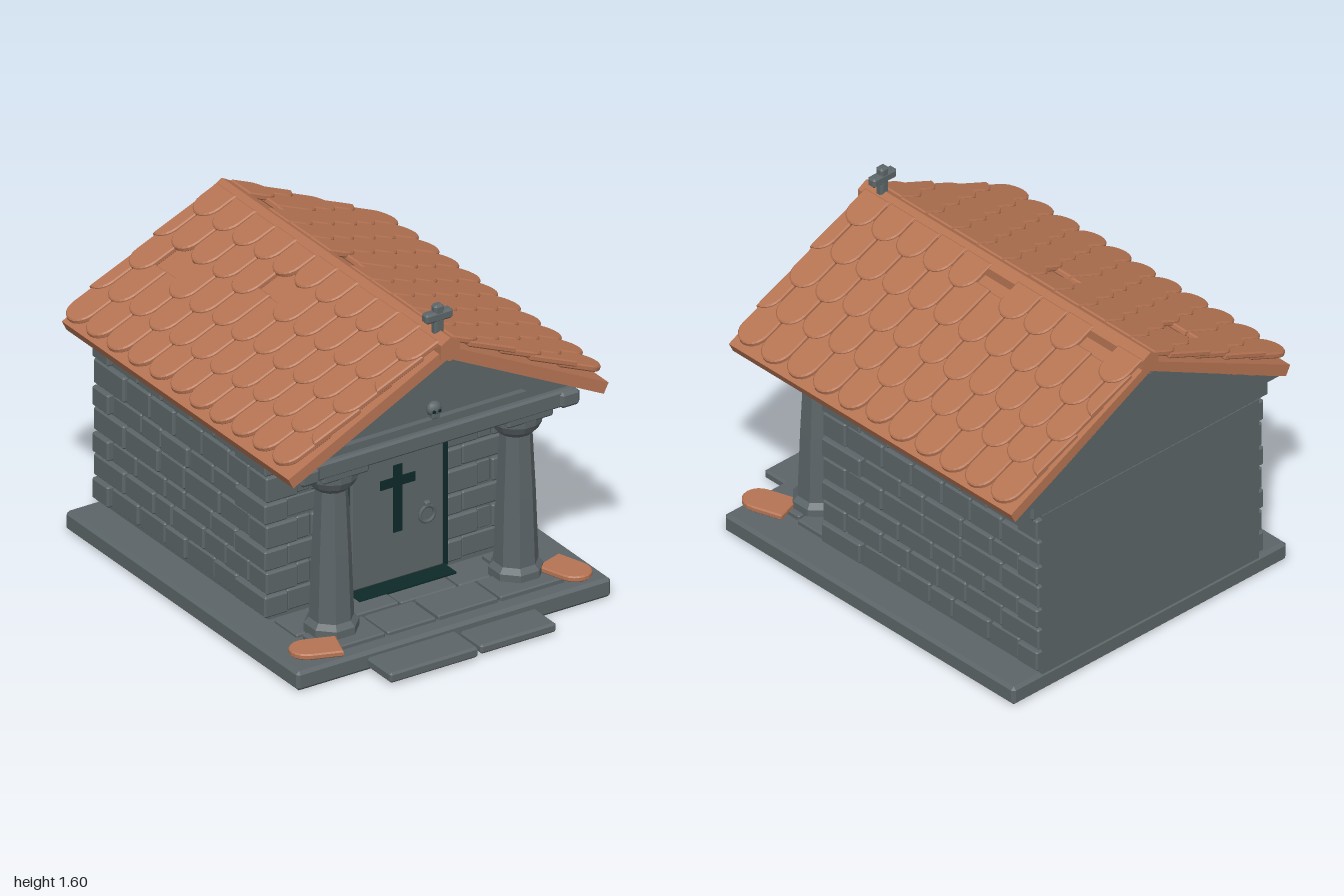
import * as THREE from 'three';
import { mergeGeometries } from 'three/addons/utils/BufferGeometryUtils.js';
import { ConvexGeometry } from 'three/addons/geometries/ConvexGeometry.js';

const mat = (name, color) => {
  const m = new THREE.MeshStandardMaterial({ color });
  m.name = name;
  return m;
};

// Seeded jitter in the range -1..1
let seed = 7;
const jitter = () => {
  seed = (seed * 16807) % 2147483647;
  return (seed / 2147483647) * 2 - 1;
};

// Chamfered block given by its extents
function block(x0, x1, y0, y1, z0, z1, c = 0.01) {
  const h = [(x1 - x0) / 2, (y1 - y0) / 2, (z1 - z0) / 2];
  const pts = [];
  for (const a of [-1, 1]) for (const b of [-1, 1]) for (const d of [-1, 1])
    for (let full = 0; full < 3; full++) {
      const s = [a, b, d].map((v, i) => v * (i === full ? h[i] : h[i] - c));
      pts.push(new THREE.Vector3(...s));
    }
  return new ConvexGeometry(pts).translate((x0 + x1) / 2, (y0 + y1) / 2, (z0 + z1) / 2);
}

// Prism along z from an outline
function prism(points, z0, z1, hole) {
  const shape = new THREE.Shape(points.map(p => new THREE.Vector2(...p)));
  if (hole) shape.holes.push(new THREE.Path(hole.map(p => new THREE.Vector2(...p))));
  return new THREE.ExtrudeGeometry(shape, { depth: z1 - z0, bevelEnabled: false }).translate(0, 0, z0);
}

// Faceted turned shape
function turned(profile, sides) {
  const g = new THREE.LatheGeometry(profile.map(p => new THREE.Vector2(...p)), sides)
    .rotateY(Math.PI / sides).toNonIndexed();
  g.computeVertexNormals();
  return g;
}

// Round-ended roof tile: tip at x = 0, running back along -x, width on y clipped to lo..hi
function tileGeometry(mid, lo, hi, length = 0.25, width = 0.152) {
  const bev = 0.006, r = width / 2 - bev, pts = [];
  const clip = v => Math.min(hi - bev, Math.max(lo + bev, v));
  pts.push([-length, clip(mid - r)]);
  for (let i = 0; i <= 10; i++) {
    const a = -Math.PI / 2 + (Math.PI * i) / 10;
    pts.push([-bev - 0.075 * (1 - Math.cos(a)), clip(mid + r * Math.sin(a))]);
  }
  pts.push([-length, clip(mid + r)]);
  return new THREE.ExtrudeGeometry(new THREE.Shape(pts.map(p => new THREE.Vector2(...p))),
    { depth: 0.016, bevelEnabled: true, bevelThickness: bev, bevelSize: bev, bevelSegments: 1 });
}

export function createModel() {
  const stone = mat('stone', 0x5c6568);
  const clay = mat('clay', 0xb67453);
  const dark = mat('dark recess', 0x0e2a29);
  const model = new THREE.Group();
  const add = (name, geo, material) => {
    const m = new THREE.Mesh(geo, material);
    m.name = name;
    model.add(m);
    return m;
  };

  // Plinth and two front steps
  add('plinth', block(-0.81, 0.81, 0, 0.093, -1, 0.82, 0.015), stone);
  add('leftStep', block(0.03, 0.42, 0.01, 0.055, 0.77, 0.98, 0.01), stone);
  add('rightStep', block(-0.45, 0.005, 0.015, 0.065, 0.77, 1.0, 0.01), stone);

  // Porch paving
  const slabs = [];
  [[0.36, 0.55, [-0.64, -0.4, -0.1, 0.2, 0.43, 0.64]],
    [0.55, 0.75, [-0.62, -0.3, -0.04, 0.28, 0.62]]].forEach(([z0, z1, xs]) => {
    for (let i = 0; i + 1 < xs.length; i++)
      slabs.push(block(xs[i] + 0.006, xs[i + 1] - 0.006, 0.08, 0.114 + 0.005 * jitter(), z0 + 0.006, z1 - 0.006, 0.006));
  });
  add('porchPaving', mergeGeometries(slabs), stone);

  // Wall core and brick courses
  add('wallCore', new THREE.BoxGeometry(1.28, 0.83, 1.335).translate(0, 0.505, -0.3325), stone);
  const courses = [0.11, 0.22, 0.335, 0.44, 0.56, 0.665, 0.795, 0.91];
  const bricks = [], g = 0.004;
  for (const s of [-1, 1]) {
    const put = (xa, xb, y0, y1, z0, z1) =>
      bricks.push(block(Math.min(s * xa, s * xb), Math.max(s * xa, s * xb), y0 + g, y1 - g, z0 + g, z1 - g, 0.008));
    for (let i = 0; i < 7; i++) {
      const y0 = courses[i], y1 = courses[i + 1], odd = i % 2;
      const front = 0.36 - (odd ? 0.15 : 0.25), back = -1 + (odd ? 0.24 : 0.13);
      const inner = odd ? 0.5 : 0.55;
      put(inner, 0.672 - 0.008 * odd, y0, y1, front, 0.36);
      put(0.55, 0.672 - 0.008 * odd, y0, y1, -1.004, back);
      // Bricks beside the doorway
      const split = 0.39 + 0.04 * (odd ? 1 : -1);
      put(0.27, split, y0, y1, 0.25, 0.358);
      put(split, inner, y0, y1, 0.25, 0.348 + 0.006 * jitter());
      // Side wall run between the corner stones
      const n = 5 - odd * (i % 3 === 0 ? 1 : 0);
      let z = back;
      for (let k = 0; k < n; k++) {
        const next = k === n - 1 ? front : back + ((front - back) * (k + 1)) / n + 0.035 * jitter();
        put(0.6, 0.655 + 0.007 * jitter(), y0, y1, z, next);
        z = next;
      }
    }
  }
  add('wallBricks', mergeGeometries(bricks), stone);

  // Doorway with door, cross inlay and ring handle
  add('doorRecess', new THREE.BoxGeometry(0.54, 0.71, 0.05).translate(0, 0.465, 0.33), dark);
  add('threshold', new THREE.BoxGeometry(0.5, 0.008, 0.1).translate(0, 0.118, 0.405), dark);
  add('door', block(-0.237, 0.24, 0.125, 0.81, 0.33, 0.372, 0.008), stone);
  add('doorCrossUpright', new THREE.BoxGeometry(0.045, 0.325, 0.006).translate(0, 0.518, 0.374), dark);
  add('doorCrossBar', new THREE.BoxGeometry(0.18, 0.045, 0.0065).translate(0, 0.6, 0.374), dark);
  add('doorRing', new THREE.TorusGeometry(0.038, 0.009, 6, 16).translate(0.145, 0.405, 0.384), stone);
  add('ringMount', block(0.13, 0.16, 0.437, 0.467, 0.37, 0.395, 0.006), stone);
  add('lintel', block(-0.335, 0.34, 0.82, 0.905, 0.3, 0.43, 0.01), stone);

  // Porch columns
  for (const s of [-1, 1]) {
    const x = 0.475 * s;
    const shaft = add(s > 0 ? 'leftColumn' : 'rightColumn', turned([
      [0, 0.1], [0.122, 0.1], [0.122, 0.15], [0.1, 0.175], [0.099, 0.2],
      [0.088, 0.5], [0.072, 0.82], [0, 0.82]], 8), stone);
    const capital = add(s > 0 ? 'leftCapital' : 'rightCapital', turned([
      [0, 0.8], [0.075, 0.8], [0.1, 0.825], [0.118, 0.86], [0.12, 0.895], [0, 0.895]], 14), stone);
    shaft.position.set(x, 0, 0.575);
    capital.position.set(x, 0, 0.575);
    add('abacus', block(x - 0.12, x + 0.12, 0.885, 0.93, 0.455, 0.695, 0.01), stone);
    add('beamEnd', block(s > 0 ? 0.62 : -0.72, s > 0 ? 0.72 : -0.62, 0.912, 0.99, 0.4, 0.715, 0.015), stone);
  }

  // Entablature and pediment
  add('entablature', block(-0.7, 0.7, 0.915, 0.995, -1, 0.7, 0.01), stone);
  const gable = [[-0.76, 0.985], [0.76, 0.985], [0, 1.375]];
  add('gable', prism(gable, -1, 0.64), stone);
  add('pedimentFrame', prism(gable, 0.64, 0.67, [[-0.47, 1.03], [0, 1.32], [0.47, 1.03]]), stone);

  // Skull ornament
  const skull = new THREE.SphereGeometry(0.038, 10, 8).scale(1, 0.9, 0.7).translate(0, 1.075, 0.655);
  add('skull', skull, stone);
  add('skullJaw', block(-0.02, 0.02, 1.03, 1.06, 0.64, 0.675, 0.006), stone);
  for (const s of [-1, 1])
    add('skullEye', new THREE.CylinderGeometry(0.008, 0.008, 0.006, 8).rotateX(Math.PI / 2)
      .translate(0.014 * s, 1.07, 0.68), dark);

  // Roof boards and ridge
  add('roofBoards', prism([[0, 1.425], [-0.825, 1.013], [-0.8, 0.965], [0, 1.365], [0.8, 0.965], [0.825, 1.013]], -1, 0.77), clay);
  add('ridge', prism([[-0.048, 1.38], [0, 1.36], [0.048, 1.38], [0.048, 1.445], [0, 1.473], [-0.048, 1.445]], -1, 0.785), clay);

  // Overlapping tile rows, a few missing
  const pitch = 0.16, angle = Math.atan(0.42);
  const missing = ['-1:2:1', '-1:3:5', '1:4:5', '1:4:1'];
  for (const s of [-1, 1]) {
    const tiles = [];
    const c = Math.cos(angle), d = Math.sin(angle);
    for (let row = 0; row < 5; row++) {
      const tipX = 0.84 - 0.16 * row;
      for (let k = 0; k <= 11; k++) {
        const z = -1 + pitch * (k + (row % 2 ? 0 : 0.5));
        if (z > 0.8 || missing.includes(`${s}:${row}:${k}`)) continue;
        const v = -s * z, ends = [-s * -1, -s * 0.76];
        const dx = 0.008 * jitter();
        const geo = tileGeometry(v, Math.min(...ends), Math.max(...ends), row === 4 ? 0.17 : 0.25);
        const m = new THREE.Matrix4().makeBasis(
          new THREE.Vector3(s * c, -d, 0), new THREE.Vector3(0, 0, -s), new THREE.Vector3(s * d, c, 0));
        m.setPosition(s * (tipX - 0.01 + dx), 1.051 + 0.08 * row - 0.42 * dx, 0);
        tiles.push(geo.applyMatrix4(m));
      }
    }
    add(s > 0 ? 'leftRoofTiles' : 'rightRoofTiles', mergeGeometries(tiles), clay);
  }

  // Fallen tiles on the plinth
  for (const [x, z, turn] of [[-0.77, 0.69, 2.8], [0.69, 0.82, -1.25]]) {
    const t = add('fallenTile', tileGeometry(0, -1, 1, 0.22).rotateX(-Math.PI / 2).rotateY(turn), clay);
    t.position.set(x, 0.122, z);
  }

  // Ridge cross
  add('crossUpright', block(-0.024, 0.024, 1.44, 1.595, 0.662, 0.704, 0.01), stone);
  add('crossBar', block(-0.07, 0.07, 1.515, 1.563, 0.66, 0.706, 0.01), stone);

  return model;
}
